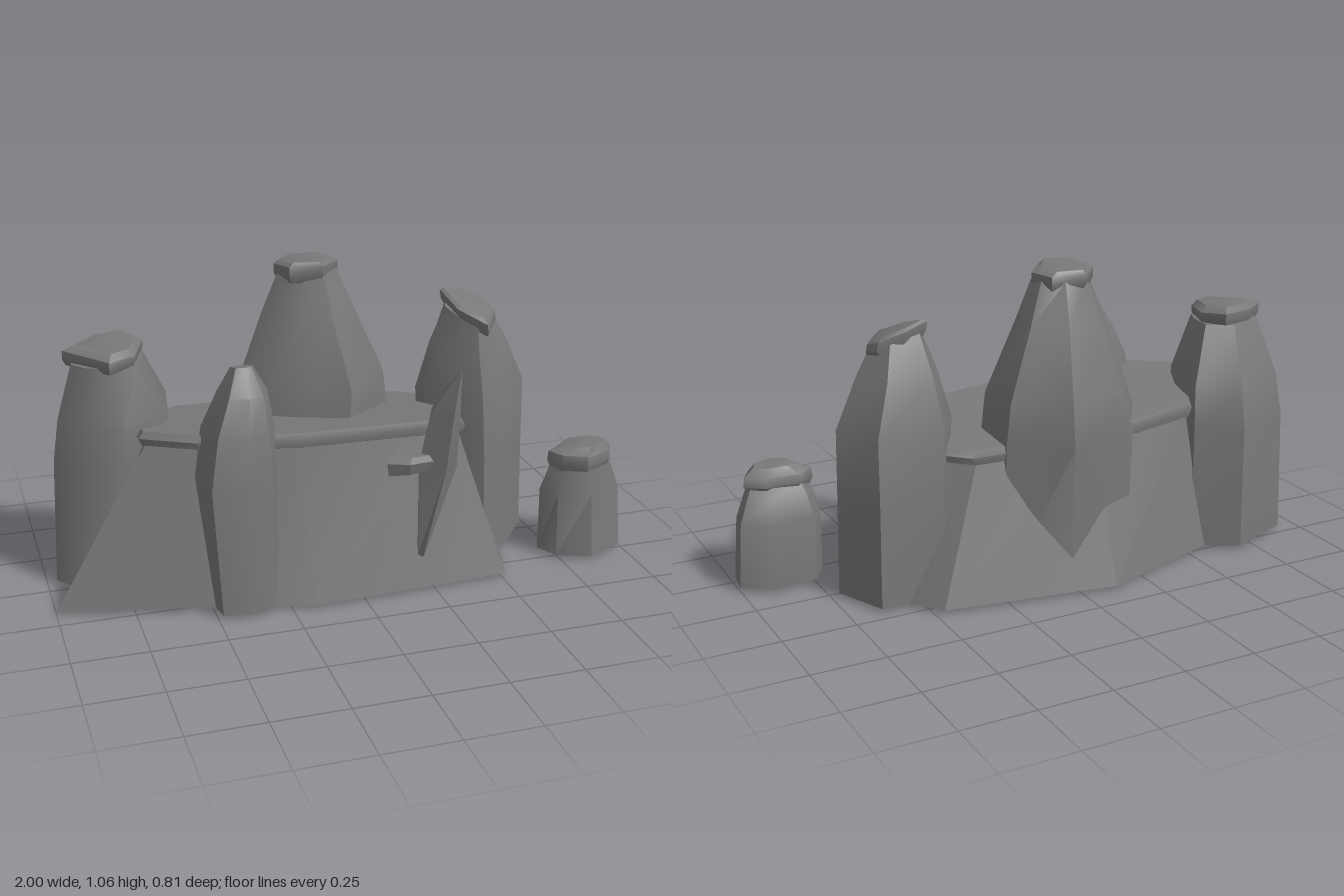
import * as THREE from 'three';
import { toCreasedNormals } from 'three/addons/utils/BufferGeometryUtils.js';

const GROUND = 0.015;

// Skin a stack of closed rings (lowest first) and close both ends.
function loft(rings, crease = 0.65) {
  const n = rings[0].length;
  const middle = (ring) => ring.reduce((s, p) => s.add(p), new THREE.Vector3()).divideScalar(n);
  const low = middle(rings[0]);
  const high = middle(rings[rings.length - 1]);
  const pos = [];
  const tri = (...pts) => pts.forEach((p) => pos.push(p.x, p.y, p.z));
  for (let i = 0; i < n; i++) {
    const j = (i + 1) % n;
    for (let k = 0; k < rings.length - 1; k++) {
      const a = rings[k], b = rings[k + 1];
      tri(a[i], b[i], a[j]);
      tri(a[j], b[i], b[j]);
    }
    const top = rings[rings.length - 1];
    tri(low, rings[0][i], rings[0][j]);
    tri(high, top[j], top[i]);
  }
  const geo = new THREE.BufferGeometry();
  geo.setAttribute('position', new THREE.Float32BufferAttribute(pos, 3));
  return toCreasedNormals(geo, crease);
}

// Order an [x, z] outline consistently so faces point outwards.
function ordered(outline) {
  const area = outline.reduce((s, [x, z], i) => {
    const [u, v] = outline[(i + 1) % outline.length];
    return s + x * v - u * z;
  }, 0);
  return area > 0 ? outline : [...outline].reverse();
}

// Rings from one outline; level = [y, centreX, centreZ, scaleX, scaleZ, slopeX, slopeZ].
function stack(outline, levels) {
  const pts = ordered(outline);
  const xs = pts.map((p) => p[0]), zs = pts.map((p) => p[1]);
  const mx = (Math.min(...xs) + Math.max(...xs)) / 2;
  const mz = (Math.min(...zs) + Math.max(...zs)) / 2;
  return levels.map(([y, cx, cz, sx, sz, tx = 0, tz = 0]) => pts.map(([x, z]) => {
    const dx = (x - mx) * sx, dz = (z - mz) * sz;
    return new THREE.Vector3(cx + dx, y + dx * tx + dz * tz, cz + dz);
  }));
}

export function createModel() {
  const model = new THREE.Group();
  const stone = new THREE.MeshStandardMaterial({ color: 0x787878 });
  stone.name = 'grey stone';
  const add = (name, rings, crease) => {
    const mesh = new THREE.Mesh(loft(rings, crease), stone);
    mesh.name = name;
    model.add(mesh);
  };

  // Mesa: wide sloping foot and a gently tilted plateau
  const foot = [[0.62, 0], [0.51, 0.35], [-0.17, 0.385], [-0.5, 0.3], [-1, 0.18],
    [-0.9, -0.05], [-0.58, -0.25], [-0.12, -0.405], [0.47, -0.31], [0.56, -0.2]];
  const plateau = [[0.41, 0], [0.37, 0.21], [-0.2, 0.265], [-0.5, 0.21], [-0.66, 0.11],
    [-0.66, 0.02], [-0.5, -0.2], [-0.1, -0.26], [0.3, -0.21], [0.41, -0.12]];
  const plateauY = (x, z) => 0.54 - 0.045 * x + 0.12 * (z - 0.2);
  const plateauRing = (grow, lift) => plateau.map(([x, z]) => {
    const u = -0.1 + (x + 0.1) * grow, v = z * grow;
    return new THREE.Vector3(u, plateauY(x, z) + lift, v);
  });
  add('mesa', [foot.map(([x, z]) => new THREE.Vector3(x, GROUND, z)), plateauRing(1, 0)], 0.45);

  // Rounded slab forming the lip of the plateau
  add('plateauRim', [plateauRing(0.98, -0.028), plateauRing(1.04, -0.02),
    plateauRing(1.06, 0.005), plateauRing(1.03, 0.028)], 0.7);

  // Tall central spire
  add('centralSpire', stack(
    [[-0.36, -0.12], [-0.22, -0.31], [0.02, -0.36], [0.21, -0.24], [0.22, -0.07],
      [0.02, 0.12], [-0.14, 0.07], [-0.28, 0.0]],
    [[GROUND, -0.07, -0.12, 1.02, 0.95], [0.5, -0.07, -0.12, 1, 1], [0.65, -0.05, -0.12, 0.87, 1],
      [0.88, -0.06, -0.115, 0.55, 0.61], [1.02, -0.06, -0.11, 0.35, 0.37]]), 0.75);
  add('centralSpireCap', stack(
    [[-0.11, -0.02], [-0.04, -0.09], [0.08, -0.08], [0.11, 0], [0.03, 0.09], [-0.08, 0.07]],
    [[0.99, -0.06, -0.11, 0.9, 0.92, 0, 0.03], [1.015, -0.06, -0.11, 1, 1.05, 0, 0.05],
      [1.045, -0.06, -0.11, 1, 1.05, 0, 0.06], [1.06, -0.065, -0.11, 0.75, 0.95, 0, 0.06]]), 0.7);

  // Broad rock on the -x side
  add('rightRock', stack(
    [[-0.98, -0.05], [-0.93, -0.22], [-0.68, -0.32], [-0.52, -0.23], [-0.55, -0.05],
      [-0.6, 0.05], [-0.75, 0.1], [-0.9, 0.05]],
    [[GROUND, -0.75, -0.11, 0.95, 0.98], [0.45, -0.74, -0.11, 0.92, 1], [0.6, -0.735, -0.1, 0.85, 0.93],
      [0.79, -0.755, -0.06, 0.54, 0.56]]), 0.7);
  add('rightRockCap', stack(
    [[-0.9, -0.07], [-0.8, -0.15], [-0.68, -0.18], [-0.63, -0.1], [-0.68, 0.03], [-0.77, 0.07]],
    [[0.78, -0.765, -0.05, 0.92, 0.95, 0.04, -0.06], [0.8, -0.765, -0.05, 1, 1.03, 0.04, -0.06],
      [0.825, -0.765, -0.05, 1, 1.03, 0, -0.06], [0.845, -0.755, -0.05, 0.72, 0.85, 0, -0.06]]), 0.7);

  // Rock on the +x side with a strongly tilted cap
  add('leftRock', stack(
    [[0.3, -0.05], [0.4, -0.21], [0.65, -0.2], [0.74, -0.02], [0.62, 0.12], [0.5, 0.16], [0.37, 0.08]],
    [[GROUND, 0.53, -0.03, 0.88, 1], [0.35, 0.525, -0.035, 0.88, 0.95], [0.58, 0.515, -0.03, 0.9, 0.88],
      [0.75, 0.5, -0.025, 0.62, 0.7], [0.85, 0.495, -0.005, 0.4, 0.53, -0.25, -0.25]]), 0.65);
  add('leftRockCap', stack(
    [[0.41, -0.1], [0.5, -0.13], [0.58, -0.1], [0.59, -0.03], [0.51, 0.1], [0.43, 0.03]],
    [[0.825, 0.505, 0.005, 0.9, 0.95, -0.3, -0.25], [0.84, 0.505, 0.005, 1, 1, -0.3, -0.25],
      [0.87, 0.5, 0.005, 1, 1, -0.3, -0.25], [0.885, 0.495, 0.0, 0.8, 0.85, -0.28, -0.25]]), 0.7);

  // Small stone standing apart
  add('outlyingStone', stack(
    [[0.69, 0.2], [0.74, 0.12], [0.9, 0.105], [1, 0.17], [0.99, 0.26], [0.85, 0.325], [0.73, 0.28]],
    [[GROUND, 0.85, 0.21, 0.97, 0.98], [0.24, 0.845, 0.2, 0.92, 0.86],
      [0.32, 0.84, 0.21, 0.74, 0.68], [0.36, 0.84, 0.22, 0.6, 0.55]]), 0.75);
  add('outlyingStoneCap', stack(
    [[0.72, 0.2], [0.78, 0.155], [0.9, 0.155], [0.96, 0.2], [0.93, 0.26], [0.83, 0.3], [0.75, 0.26]],
    [[0.335, 0.84, 0.225, 0.94, 0.9, 0.05, -0.1], [0.355, 0.84, 0.225, 1, 1],
      [0.385, 0.84, 0.225, 0.97, 0.95], [0.415, 0.85, 0.225, 0.6, 0.7]]), 0.75);

  // Pointed buttress at the front
  add('frontButtress', stack(
    [[-0.54, 0.2], [-0.45, 0.13], [-0.29, 0.16], [-0.25, 0.25], [-0.3, 0.35], [-0.39, 0.38], [-0.51, 0.36]],
    [[GROUND, -0.385, 0.27, 0.86, 0.9], [0.45, -0.4, 0.255, 0.95, 1], [0.62, -0.39, 0.25, 0.8, 0.9],
      [0.74, -0.375, 0.25, 0.54, 0.62], [0.82, -0.375, 0.24, 0.24, 0.28, 0, 0.2]]), 0.55);

  // Leaning blade and the small ledge beside it
  add('leaningBlade', stack(
    [[0.18, 0.33], [0.23, 0.25], [0.31, 0.34], [0.3, 0.39], [0.26, 0.4]],
    [[0.13, 0.2, 0.345, 0.12, 0.3], [0.45, 0.255, 0.325, 0.95, 0.85], [0.62, 0.27, 0.335, 0.7, 0.95],
      [0.69, 0.285, 0.355, 0.42, 0.65], [0.78, 0.31, 0.388, 0.04, 0.05]]), 0.3);
  add('bladeLedge', stack(
    [[0.08, 0.34], [0.13, 0.28], [0.23, 0.29], [0.24, 0.36], [0.15, 0.37]],
    [[0.43, 0.16, 0.32, 0.9, 0.85, 0.1], [0.47, 0.16, 0.325, 1, 1], [0.49, 0.165, 0.32, 0.9, 0.9]]), 0.4);

  // Thin stone under the front edge
  add('footSlab', stack(
    [[0.03, 0.31], [0.1, 0.25], [0.22, 0.26], [0.25, 0.32], [0.14, 0.35]],
    [[0.004, 0.135, 0.3, 0.85, 0.85, 0, -0.05], [0.016, 0.14, 0.3, 1, 1]]), 0.4);

  return model;
}
